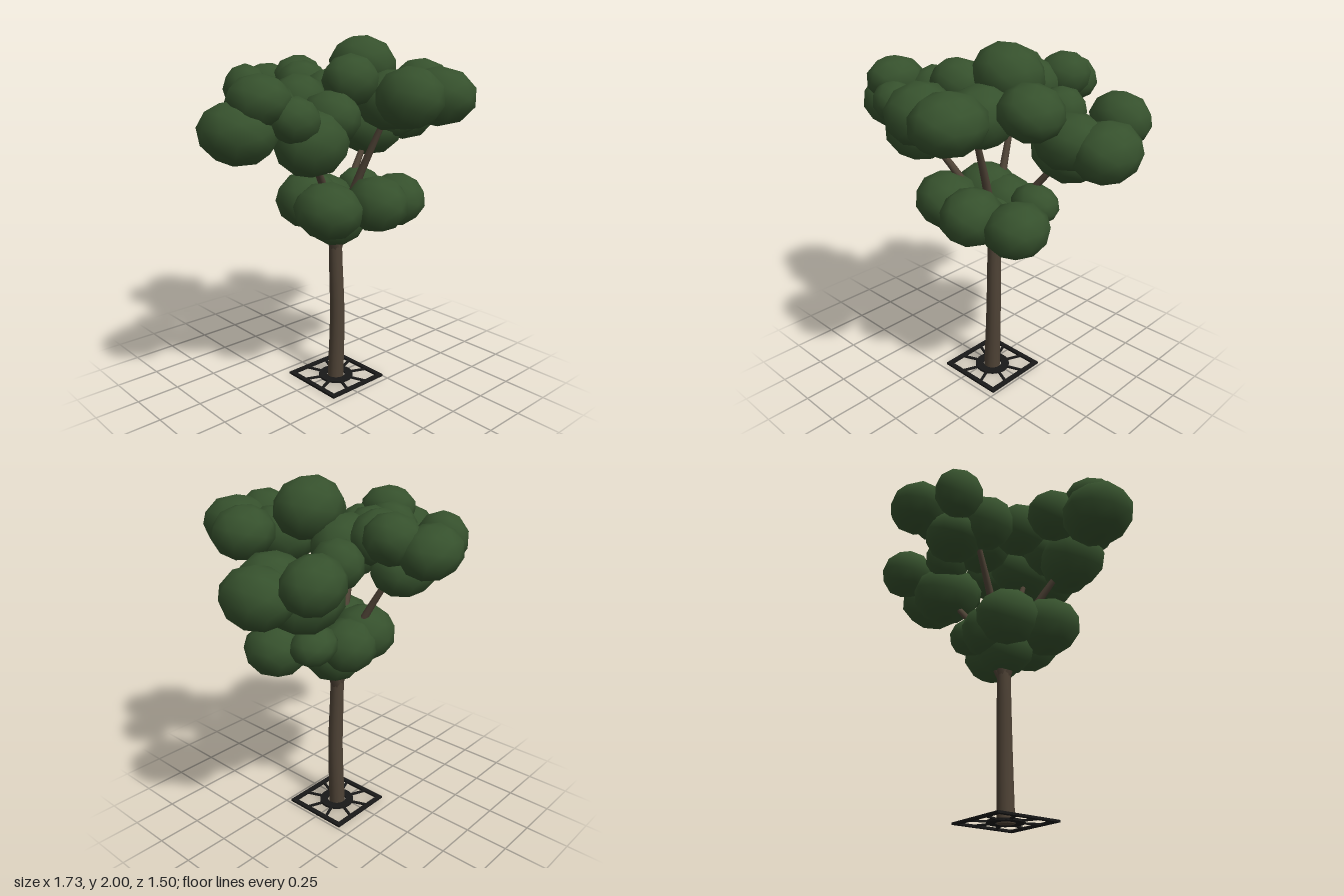
import * as THREE from 'three';

const flat = (color, name) => {
  const m = new THREE.MeshStandardMaterial({ color });
  m.name = name;
  return m;
};

export function createModel() {
  const leafGreen = flat(0x36512d, 'leafGreen');
  const barkBrown = flat(0x4f4336, 'barkBrown');
  const ironBlack = flat(0x191919, 'ironBlack');
  const model = new THREE.Group();
  model.name = 'streetTree';

  const add = (parent, geometry, material, name) => {
    const mesh = new THREE.Mesh(geometry, material);
    mesh.name = name;
    parent.add(mesh);
    return mesh;
  };

  // Tapered limb: a tube whose rings shrink towards the end
  const limb = (points, r0, r1, name, sides = 8) => {
    const curve = new THREE.CatmullRomCurve3(points.map(p => new THREE.Vector3(...p)));
    const steps = 10;
    const geo = new THREE.TubeGeometry(curve, steps, 1, sides, false);
    const pos = geo.attributes.position, nor = geo.attributes.normal;
    const centre = new THREE.Vector3(), n = new THREE.Vector3();
    for (let i = 0; i < pos.count; i++) {
      const t = Math.floor(i / (sides + 1)) / steps;
      curve.getPointAt(t, centre);
      n.fromBufferAttribute(nor, i);
      centre.addScaledVector(n, r0 + (r1 - r0) * t);
      pos.setXYZ(i, centre.x, centre.y, centre.z);
    }
    return add(model, geo, barkBrown, name);
  };

  // Trunk, its closed foot and the branches
  limb([[0.037, 0, 0.02], [0.049, 0.4, 0.02], [0.043, 0.8, 0.01], [0.045, 1.0, 0.01]], 0.049, 0.037, 'trunk', 12);
  const foot = add(model, new THREE.CircleGeometry(0.048, 12), barkBrown, 'trunkFoot');
  foot.rotation.x = Math.PI / 2;
  foot.position.set(0.037, 0.002, 0.02);
  const tips = {
    leftSide: [[-0.09, 1.15, 0.08], [-0.32, 1.48, 0.2]],
    rightSide: [[0.2, 1.13, -0.05], [0.42, 1.42, -0.12]],
    front: [[0.09, 1.15, 0.1], [0.16, 1.58, 0.27]],
    back: [[-0.01, 1.16, -0.1], [-0.09, 1.52, -0.28]],
  };
  for (const [name, [mid, end]] of Object.entries(tips))
    limb([[0.045, 0.8, 0.01], mid, end], 0.033, 0.015, name + 'Branch');

  // Foliage clumps: centre x, y, z and radii x, y, z
  const clumps = {
    frontFoliage: [
      [0.19, 1.84, 0.065, 0.19, 0.16, 0.18], [0.265, 1.705, 0.54, 0.18, 0.15, 0.2],
      [0.06, 1.71, 0.53, 0.165, 0.155, 0.18], [0.49, 1.74, 0.23, 0.16, 0.135, 0.165],
      [-0.03, 1.78, 0.2, 0.155, 0.135, 0.14], [0.2, 1.67, 0.27, 0.18, 0.16, 0.2],
    ],
    sideFoliageA: [
      [-0.67, 1.56, 0.1, 0.195, 0.155, 0.19], [-0.585, 1.71, 0.16, 0.155, 0.13, 0.17],
      [-0.42, 1.65, 0.01, 0.145, 0.14, 0.155], [-0.46, 1.62, 0.27, 0.135, 0.115, 0.12],
      [-0.32, 1.49, 0.23, 0.2, 0.17, 0.175], [-0.17, 1.6, 0.2, 0.15, 0.14, 0.17],
    ],
    backFoliage: [
      [0.05, 1.7, -0.6, 0.17, 0.13, 0.155], [-0.2, 1.7, -0.49, 0.125, 0.14, 0.14],
      [0.14, 1.75, -0.44, 0.15, 0.13, 0.145], [0.05, 1.72, -0.28, 0.165, 0.14, 0.14],
      [-0.175, 1.61, -0.28, 0.155, 0.15, 0.145], [-0.175, 1.66, -0.05, 0.16, 0.15, 0.15],
      [0.11, 1.67, -0.1, 0.185, 0.15, 0.16], [-0.02, 1.555, -0.39, 0.18, 0.135, 0.165],
    ],
    sideFoliageB: [
      [0.59, 1.61, -0.35, 0.165, 0.14, 0.15], [0.7, 1.52, -0.09, 0.165, 0.155, 0.2],
      [0.53, 1.55, -0.02, 0.185, 0.145, 0.17], [0.44, 1.46, -0.14, 0.205, 0.165, 0.205],
      [0.3, 1.62, -0.23, 0.13, 0.13, 0.14],
    ],
    lowerFoliage: [
      [-0.155, 1.1, 0.17, 0.19, 0.155, 0.185], [0.12, 1.11, 0.26, 0.165, 0.155, 0.18],
      [0.36, 1.08, 0.17, 0.17, 0.15, 0.18], [0.29, 1.14, -0.05, 0.135, 0.105, 0.125],
      [-0.09, 1.11, -0.07, 0.185, 0.16, 0.18], [0.05, 1.0, 0.02, 0.18, 0.16, 0.16],
      [0.05, 1.08, -0.08, 0.17, 0.15, 0.165],
    ],
  };
  const ball = new THREE.IcosahedronGeometry(1.02, 1);
  for (const [name, list] of Object.entries(clumps)) {
    const group = new THREE.Group();
    group.name = name;
    list.forEach(([x, y, z, rx, ry, rz], i) => {
      const clump = add(group, ball, leafGreen, 'leafClump' + (i + 1));
      clump.position.set(x, y, z);
      clump.scale.set(rx, ry, rz);
      clump.rotation.z = 0.2 * ((i % 3) - 1);
    });
    model.add(group);
  }

  // Iron tree grate: square frame, centre ring and spokes
  const grate = new THREE.Group();
  grate.name = 'treeGrate';
  grate.position.set(0.04, 0.004, 0.02);
  model.add(grate);
  const plate = (shape, name) => {
    const geo = new THREE.ExtrudeGeometry(shape, { depth: 0.012, bevelEnabled: false, curveSegments: 16 });
    geo.rotateX(-Math.PI / 2);
    return add(grate, geo, ironBlack, name);
  };
  const square = h => [[-h, -h], [h, -h], [h, h], [-h, h]].map(p => new THREE.Vector2(...p));
  const frame = new THREE.Shape(square(0.2));
  frame.holes.push(new THREE.Path(square(0.172)));
  plate(frame, 'grateFrame');
  const ring = new THREE.Shape().absarc(0, 0, 0.102, 0, Math.PI * 2);
  ring.holes.push(new THREE.Path().absarc(0, 0, 0.055, 0, Math.PI * 2));
  plate(ring, 'grateRing');
  for (let i = 0; i < 8; i++) {
    const a = (i + 0.5) * Math.PI / 4;
    const reach = 0.18 / Math.cos(Math.PI / 8);
    const spoke = add(grate, new THREE.BoxGeometry(reach - 0.09, 0.01, 0.014), ironBlack, 'grateSpoke');
    const mid = (reach + 0.09) / 2;
    spoke.position.set(Math.cos(a) * mid, 0.006, -Math.sin(a) * mid);
    spoke.rotation.y = a;
  }
  return model;
}
